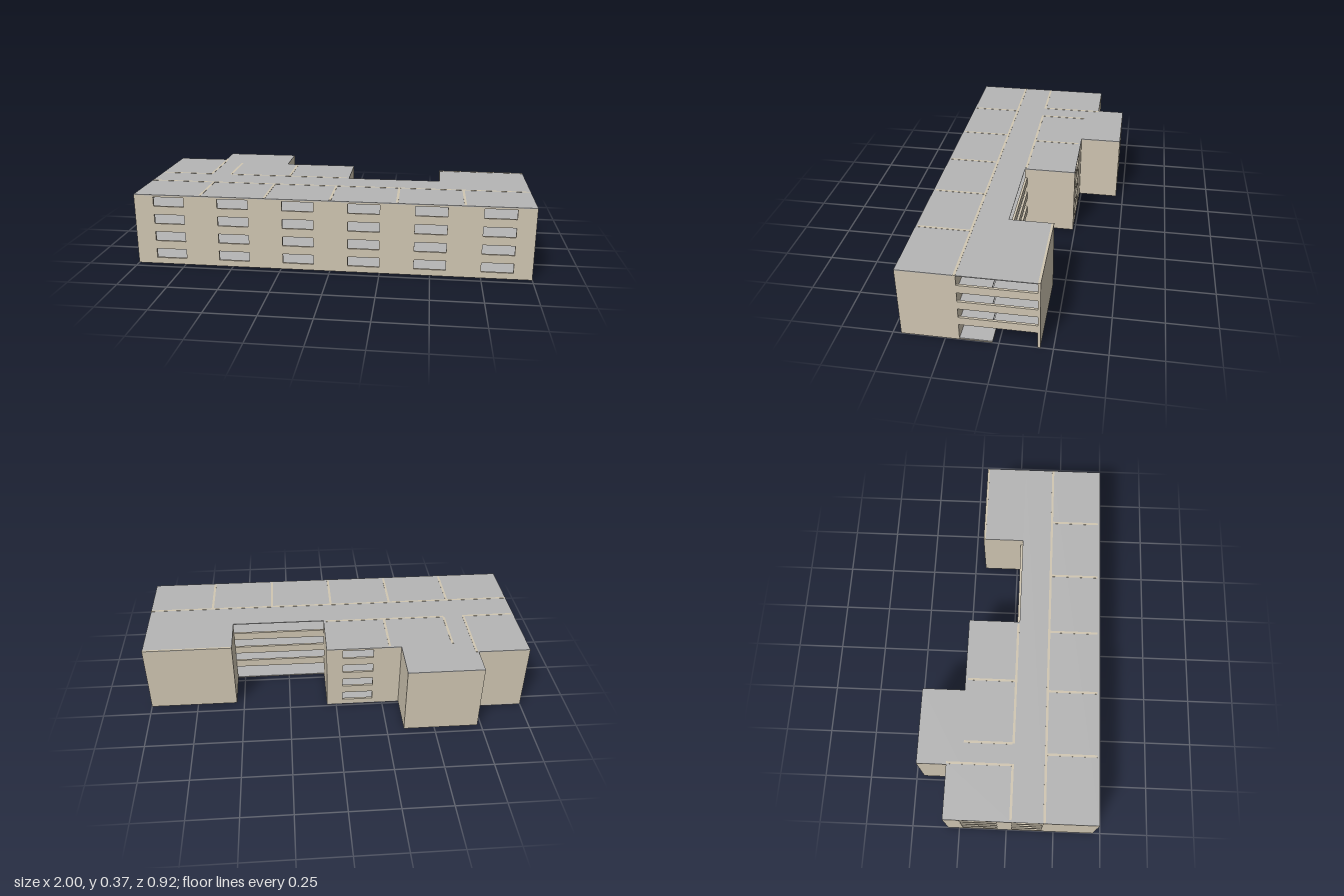
import * as THREE from 'three';

const T = 0.012;           // wall thickness
const FLOOR = 0.0925;      // storey height
const TOP = 0.37;          // roof level
const ROOF_T = 0.004;
const EAVE = TOP - ROOF_T; // outer walls stop under the roof plate
const PROUD = TOP + 0.001; // inner walls show as thin lines on the roof

export function createModel() {
  const model = new THREE.Group();
  model.name = 'building';

  const wallMat = new THREE.MeshStandardMaterial({ color: 0xd0c6b2 });
  wallMat.name = 'sand wall';
  const slabMat = new THREE.MeshStandardMaterial({ color: 0xb5b5b5 });
  slabMat.name = 'grey concrete';

  function add(name, geometry, material) {
    const mesh = new THREE.Mesh(geometry, material);
    mesh.name = name;
    model.add(mesh);
    return mesh;
  }

  function box(name, x0, x1, y0, y1, z0, z1, material) {
    const mesh = add(name, new THREE.BoxGeometry(x1 - x0, y1 - y0, z1 - z0), material);
    mesh.position.set((x0 + x1) / 2, (y0 + y1) / 2, (z0 + z1) / 2);
    return mesh;
  }

  // upright panel with one column of four windows for each [from, to] span
  function panel(a, b, height, spans) {
    const rect = (Kind, u0, u1, y0, y1) => {
      const p = new Kind();
      p.moveTo(u0, y0);
      p.lineTo(u1, y0);
      p.lineTo(u1, y1);
      p.lineTo(u0, y1);
      p.closePath();
      return p;
    };
    const shape = rect(THREE.Shape, a, b, 0, height);
    for (const [u0, u1] of spans) {
      for (let f = 0; f < 4; f++) {
        shape.holes.push(rect(THREE.Path, u0, u1, f * FLOOR + 0.032, f * FLOOR + 0.081));
      }
    }
    return new THREE.ExtrudeGeometry(shape, { depth: T, bevelEnabled: false });
  }

  // wall running along x, occupying z .. z + T
  function wallX(name, x0, x1, z, height, spans = []) {
    add(name, panel(x0, x1, height, spans), wallMat).position.z = z;
  }

  // wall running along z, occupying x - T .. x
  function wallZ(name, z0, z1, x, height, spans = []) {
    const mesh = add(name, panel(z0, z1, height, spans), wallMat);
    mesh.rotation.y = -Math.PI / 2;
    mesh.position.x = x;
  }

  // front row of rooms
  const frontWindows = [-0.9, -0.57, -0.24, 0.09, 0.42, 0.75].map((x) => [x, x + 0.157]);
  wallX('frontWall', -1, 1, 0.46 - T, EAVE, frontWindows);
  wallX('corridorFrontWall', -1, 1, 0.19 - T / 2, PROUD, frontWindows);
  wallZ('frontLeftEndWall', 0.19, 0.448, 1, EAVE);
  wallZ('frontRightEndWall', 0.19, 0.448, -1 + T, EAVE);
  for (const x of [-0.66, -0.33, 0, 0.33, 0.66]) {
    wallZ('roomDivider', 0.196, 0.448, x + T / 2, PROUD);
  }

  // end wing on the -x side
  wallZ('wingEndWall', -0.31, 0.03, -1 + T, EAVE, [[-0.23, -0.045]]);
  wallX('wingBackWall', -1 + T, -0.73, -0.31, EAVE);
  wallX('wingCorridorWall', -1 + T, -0.72, 0.03 - T, PROUD, [[-0.94, -0.78]]);
  wallZ('wingInnerWall', -0.31, 0.03, -0.72 + T / 2, PROUD);

  // middle rooms
  const midWindows = [[-0.52, -0.37], [-0.195, -0.035]];
  wallX('middleCorridorWall', -0.61, 0.05 - T, 0.03 - T, PROUD, midWindows);
  wallX('middleBackWall', -0.61, 0.05 - T, -0.24, EAVE, midWindows);
  wallZ('middleEndWall', -0.24, 0.03, 0.05, EAVE);
  wallZ('middleDivider', -0.228, 0.018, -0.28 + T / 2, PROUD);
  wallZ('middleInnerWall', -0.228, 0.018, -0.61 + T / 2, PROUD);

  // rear stair tower
  wallX('rearTowerBackWall', -0.73, -0.34, -0.46, EAVE);
  wallZ('rearTowerSideWall', -0.448, -0.24, -0.34, EAVE);
  wallZ('rearTowerSideWall', -0.448, -0.298, -0.73 + T, EAVE);

  // end stair tower on the +x side, open along its outer end
  wallX('endTowerBackWall', 0.54, 1, -0.19, PROUD);
  wallZ('endTowerInnerWall', -0.178, 0.03, 0.54 + T, EAVE);

  // parapets along the open sides
  for (let f = 0; f < 4; f++) {
    const y = f * FLOOR;
    box('corridorEndParapet', -1, -1 + T, y, y + 0.034, 0.03, 0.19, wallMat);
    if (f === 0) continue;
    box('corridorParapet', 0.05, 0.54, y - 0.004, y + 0.038, 0.03 - T, 0.03, wallMat);
    box('towerEndParapet', 1 - T, 1, y - 0.004, y + 0.038, -0.178, 0.19, wallMat);
  }

  // floor and roof areas as [x0, x1, z0, z1]
  const rooms = [
    [-1, 1, 0.19, 0.46],
    [-1, 1, 0.03, 0.19],
    [-1, -0.72, -0.31, 0.03],
    [-0.72, 0.05, -0.24, 0.03],
  ];
  const landings = [[0.85, 1, -0.19, 0.03], [-0.73, -0.61, -0.46, -0.24]];
  const towers = [[0.54, 1, -0.19, 0.03], [-0.73, -0.34, -0.46, -0.24]];
  const i = 0.003; // slabs stay just inside the outer wall faces
  for (const [x0, x1, z0, z1] of rooms) {
    box('foundation', x0, x1, 0, 0.003, z0, z1, wallMat);
    box('groundFloor', x0 + i, x1 - i, 0.003, 0.006, z0, z1 - i, slabMat);
  }
  for (const [x0, x1, z0, z1] of [...rooms, ...landings]) {
    for (let f = 1; f < 4; f++) {
      box('floorSlab', x0 + i, x1 - i, f * FLOOR - 0.003, f * FLOOR + 0.003, z0 + i, z1 - i / 2, slabMat);
    }
  }
  for (const [x0, x1, z0, z1] of [...rooms, ...towers]) {
    box('roof', x0, x1, EAVE, TOP, z0, z1, slabMat);
  }

  // stepped flight from (x0, y0) to (x1, y0 + half a storey)
  function flight(x0, x1, y0, z0, z1) {
    const n = 6, dx = (x1 - x0) / n, dy = FLOOR / 2 / n;
    const shape = new THREE.Shape();
    shape.moveTo(x0, y0);
    for (let s = 0; s < n; s++) {
      shape.lineTo(x0 + s * dx, y0 + (s + 1) * dy);
      shape.lineTo(x0 + (s + 1) * dx, y0 + (s + 1) * dy);
    }
    shape.lineTo(x1, y0 + n * dy - 0.008);
    shape.lineTo(x0 + dx, y0);
    const geometry = new THREE.ExtrudeGeometry(shape, { depth: z1 - z0, bevelEnabled: false });
    add('stairFlight', geometry, wallMat).position.z = z0;
  }

  // dog-leg stairs: up to a half landing, then back to the next floor
  function stairs(floorX, turnX, wallSide, z0, zMid, z1) {
    for (let f = 0; f < 3; f++) {
      const y = f * FLOOR, half = y + FLOOR / 2;
      flight(floorX, turnX, y, zMid, z1);
      flight(turnX, floorX, half, z0, zMid);
      box('halfLanding', Math.min(turnX, wallSide), Math.max(turnX, wallSide),
        half - 0.006, half, z0, z1, slabMat);
    }
  }
  stairs(0.85, 0.64, 0.552, -0.176, -0.073, 0.028);
  stairs(-0.61, -0.43, -0.352, -0.446, -0.345, -0.243);

  return model;
}
